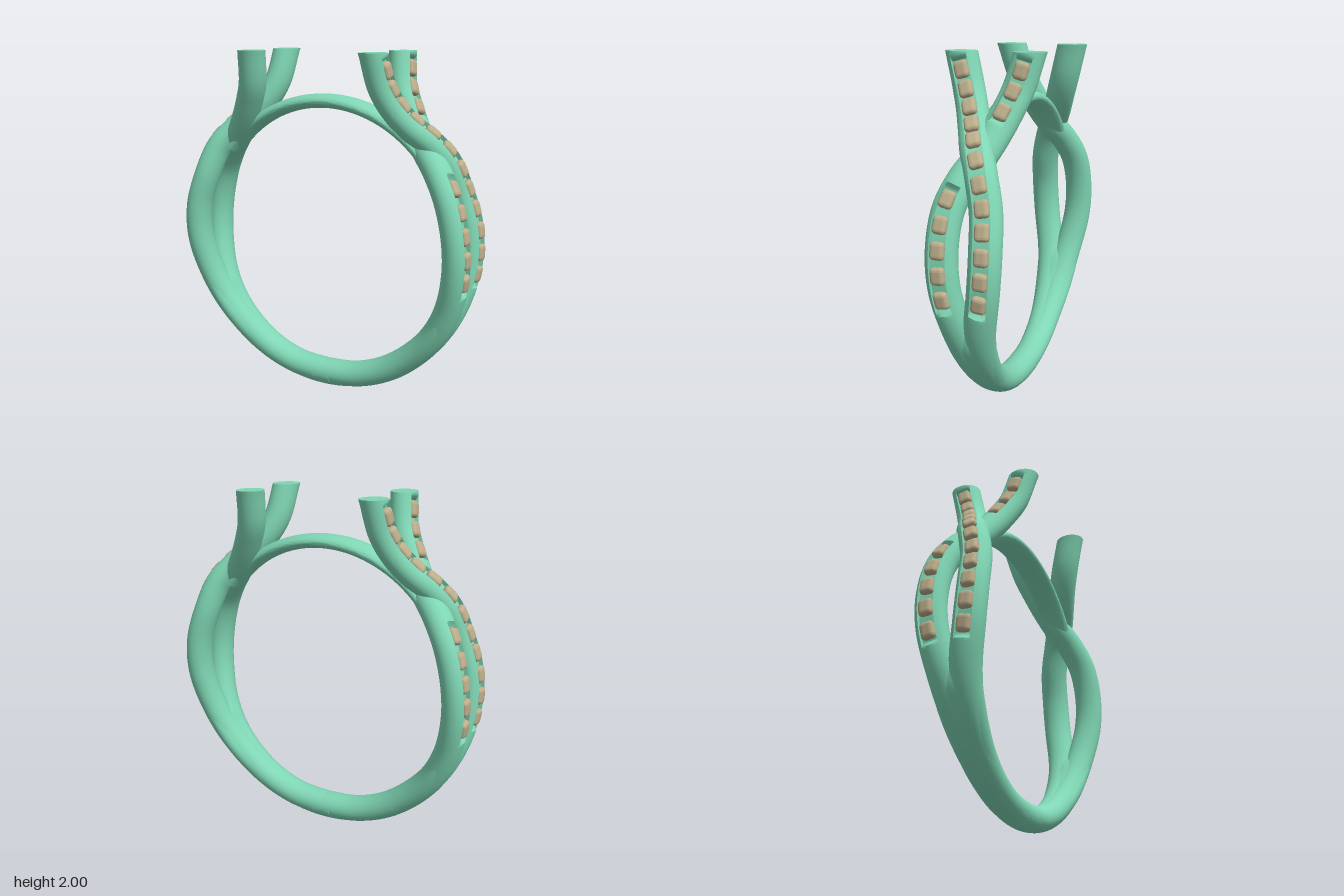
import * as THREE from 'three';
import { toCreasedNormals } from 'three/addons/utils/BufferGeometryUtils.js';
import { RoundedBoxGeometry } from 'three/addons/geometries/RoundedBoxGeometry.js';

const TOP = 2, CY = 0.92, R = 0.845;   // top cut, ring centre height, ring radius
const HALF_N = 0.075, HALF_W = 0.086;  // half thickness and half width of a strand
const SLOT = 0.56;                     // half angle of the stone channel in the section

const metal = new THREE.MeshStandardMaterial({ color: 0x7fd6b4 });
const stone = new THREE.MeshStandardMaterial({ color: 0xbcae8c, flatShading: true });
const smooth = THREE.MathUtils.smoothstep;

const onRing = (deg, z = 0, r = R) => {
  const a = THREE.MathUtils.degToRad(deg);
  return new THREE.Vector3(r * Math.cos(a), CY + r * Math.sin(a), z);
};

// Tangent, outward normal and sideways direction at a place on a path
function frameAt(curve, u) {
  const p = curve.getPointAt(u), t = curve.getTangentAt(u);
  const b = new THREE.Vector3(0, 0, 1).addScaledVector(t, -t.z).normalize();
  return { p, t, b, n: b.clone().cross(t) };
}

// Elliptical sweep; size(u) gives [half thickness, half width], slot(u) the channel depth 0..1
function sweep(curve, steps, size, slot = () => 0, cutTop = false) {
  const angles = [];
  for (let i = 0; i <= 30; i++) angles.push([SLOT + (2 * Math.PI - 2 * SLOT) * i / 30, false]);
  for (let i = 0; i <= 6; i++) angles.push([-SLOT + 2 * SLOT * i / 6, true]);
  const m = angles.length, pos = [], idx = [];
  for (let i = 0; i <= steps; i++) {
    const u = i / steps, { p, t, b, n } = frameAt(curve, u);
    const [hn, hw] = size(u), depth = slot(u);
    for (const [a, floor] of angles) {
      let h = hn * Math.cos(a);
      if (floor) h = THREE.MathUtils.lerp(h, 0.04, depth);
      const v = p.clone().addScaledVector(n, h).addScaledVector(b, hw * Math.sin(a));
      // level cut at the top
      if (cutTop && (i === 0 || v.y > TOP)) v.addScaledVector(t, (TOP - v.y) / t.y);
      pos.push(v.x, v.y, v.z);
    }
  }
  for (let i = 0; i < steps; i++) for (let j = 0; j < m; j++) {
    const k = (j + 1) % m, a = i * m + j, b = i * m + k;
    idx.push(a, b, b + m, a, b + m, a + m);
  }
  // end caps
  for (const u of [0, 1]) {
    const c = pos.length / 3, o = u * steps * m, p = curve.getPointAt(u);
    pos.push(p.x, p.y, p.z);
    for (let j = 0; j < m; j++) {
      const k = (j + 1) % m;
      if (u) idx.push(c, o + j, o + k); else idx.push(c, o + k, o + j);
    }
  }
  const g = new THREE.BufferGeometry();
  g.setAttribute('position', new THREE.Float32BufferAttribute(pos, 3));
  g.setIndex(idx);
  return toCreasedNormals(g, 0.8);
}

// Path from the top, across the shoulder and down to the bottom of the ring
function strandPath(side, lift) {
  const upper = [[0.378, 2, 0.19, 0], [0.408, 1.82, 0.14, 0], [0.458, 1.71, 0.1, 0], [0.53, 1.6, 0.055, 0.4],
    [0.615, 1.5, 0.005, 1], [0.7, 1.4, -0.05, 0.8], [0.778, 1.25, -0.1, 0]];
  const lower = [[9, -0.117], [-5, -0.105], [-22, -0.06], [-38, -0.028], [-58, -0.008], [-75, -0.001], [-94, 0]];
  return new THREE.CatmullRomCurve3([
    ...upper.map(([x, y, z, k]) => new THREE.Vector3(x + lift * k, y + lift * k, z * side)),
    ...lower.map(([a, z]) => onRing(a, z * side)),
  ]);
}

// Place on the path at a given height
function uAtHeight(curve, y) {
  let lo = 0, hi = 0.9;
  for (let i = 0; i < 30; i++) {
    const mid = (lo + hi) / 2;
    if (curve.getPointAt(mid).y > y) lo = mid; else hi = mid;
  }
  return lo;
}

// A strand with rows of stones, each row being [top y, bottom y, count]
function strand(name, side, lift, rows) {
  const group = new THREE.Group();
  group.name = name;
  const curve = strandPath(side, lift), len = curve.getLength();
  const spans = rows.map(([y0, y1, count]) => [uAtHeight(curve, y0), uAtHeight(curve, y1), count]);
  const pad = 0.05 / len, fade = 0.025 / len;
  const slot = u => Math.max(...spans.map(([a, b]) =>
    smooth(u, a - pad - fade, a - pad) * (1 - smooth(u, b + pad, b + pad + fade))));
  const body = new THREE.Mesh(sweep(curve, 200, () => [HALF_N, HALF_W], slot, true), metal);
  body.name = 'strandBody';
  group.add(body);
  const gemShape = new RoundedBoxGeometry(0.046, 0.094, 0.078, 2, 0.022);
  for (const [a, b, count] of spans) for (let i = 0; i < count; i++) {
    const { p, t, b: w, n } = frameAt(curve, a + (b - a) * i / (count - 1));
    const gem = new THREE.Mesh(gemShape, stone);
    gem.name = 'stone';
    gem.quaternion.setFromRotationMatrix(new THREE.Matrix4().makeBasis(n, t, w.negate()));
    gem.position.copy(p).addScaledVector(n, 0.054);
    group.add(gem);
  }
  return group;
}

const arc = (from, to, r) => new THREE.CatmullRomCurve3(
  Array.from({ length: 25 }, (_, i) => onRing(from + (to - from) * i / 24, 0, r)));

export function createModel() {
  const model = new THREE.Group();
  model.name = 'ring';

  // Two crossing strands on each side, the second side turned half round
  for (const [name, turn] of [['leftShoulder', 0], ['rightShoulder', Math.PI]]) {
    const shoulder = new THREE.Group();
    shoulder.name = name;
    shoulder.rotation.y = turn;
    shoulder.add(
      strand('overStrand', 1, 0.022, [[1.9, 0.81, 12]]),
      strand('underStrand', -1, -0.012, [[1.9, 1.68, 3], [1.28, 0.81, 5]]));
    model.add(shoulder);
  }

  // Lower band that blends the strands together
  const band = new THREE.Mesh(sweep(arc(-17, -163, R), 90, u => {
    const e = Math.abs(2 * u - 1);
    return [0.074 - 0.03 * smooth(e, 0.85, 1), 0.084 + 0.06 * smooth(e, 0.25, 1.05)];
  }), metal);
  band.name = 'lowerBand';

  // Thin arch closing the finger hole
  const arch = new THREE.Mesh(sweep(arc(142, 38, 0.8), 60, () => [0.04, 0.085]), metal);
  arch.name = 'topArch';

  model.add(band, arch);
  return model;
}
